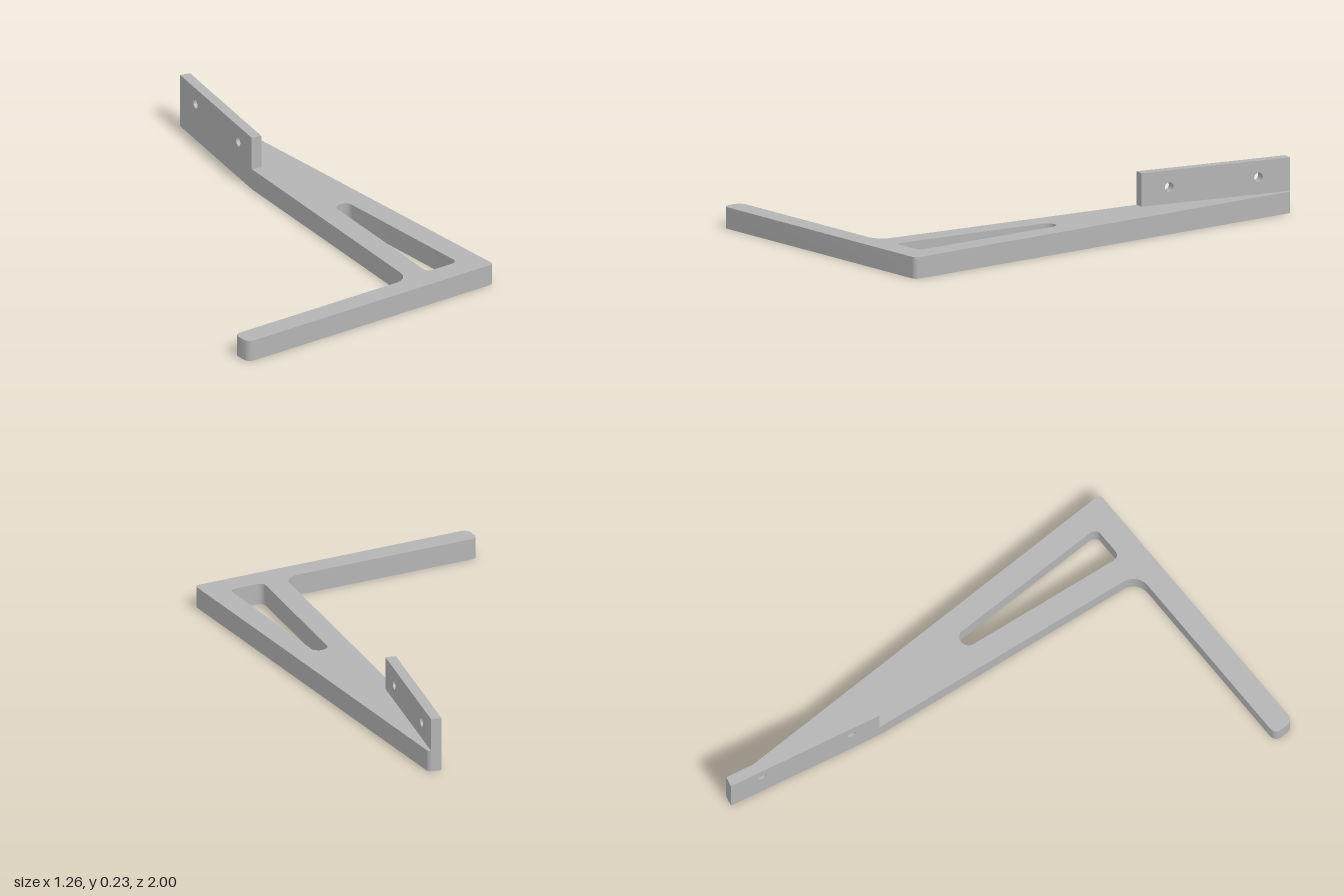
import * as THREE from 'three';
import { toCreasedNormals } from 'three/addons/utils/BufferGeometryUtils.js';

// Trace a closed outline of [x, z, cornerLength] points with rounded corners (shape y = -z)
function roundedOutline(path, corners) {
  const pts = corners.map(([x, z]) => new THREE.Vector2(x, -z));
  const n = pts.length;
  pts.forEach((p, i) => {
    const toward = (q, d) => p.clone().add(q.clone().sub(p).setLength(d));
    const prev = pts[(i + n - 1) % n], next = pts[(i + 1) % n], r = corners[i][2];
    const a = r ? toward(prev, r) : p, b = r ? toward(next, r) : p;
    if (i === 0) path.moveTo(a.x, a.y); else path.lineTo(a.x, a.y);
    if (r) {
      const c = toward(prev, r * 0.45), d = toward(next, r * 0.45);
      path.bezierCurveTo(c.x, c.y, d.x, d.y, b.x, b.y);
    }
  });
  path.closePath();
  return path;
}

function extrude(shape, depth) {
  const geo = new THREE.ExtrudeGeometry(shape, { depth, bevelEnabled: false, curveSegments: 10 });
  return toCreasedNormals(geo, 0.5);
}

export function createModel() {
  const group = new THREE.Group();
  const grey = new THREE.MeshStandardMaterial({ color: 0xb4b4b4 });
  grey.name = 'grey';

  // Flat L-shaped arm with a tapering slot
  const arm = roundedOutline(new THREE.Shape(), [
    [-0.63, 1, 0.03], [0.63, 1, 0.02], [0.6, -0.988, 0.012], [0.545, -1, 0],
    [0.405, -0.335, 0], [0.267, 0.905, 0.065], [-0.63, 0.905, 0.03],
  ]);
  arm.holes.push(roundedOutline(new THREE.Path(), [
    [0.368, 0.895, 0.03], [0.45, 0.157, 0.034], [0.519, 0.157, 0.034], [0.525, 0.895, 0.03],
  ]));
  const armMesh = new THREE.Mesh(extrude(arm, 0.09), grey);
  armMesh.name = 'arm';
  armMesh.rotation.x = -Math.PI / 2;
  group.add(armMesh);

  // Upright mounting plate along the slanted edge, with two screw holes
  const length = Math.hypot(0.14, 0.665);
  const plate = new THREE.Shape([[0, 0], [length, 0], [length, 0.14], [0, 0.14]]
    .map(([x, y]) => new THREE.Vector2(x, y)));
  for (const u of [0.128, 0.536]) {
    plate.holes.push(new THREE.Path().absarc(u, 0.07, 0.02, 0, Math.PI * 2, true));
  }
  const plateMesh = new THREE.Mesh(extrude(plate, 0.044), grey);
  plateMesh.name = 'mountingPlate';
  plateMesh.position.set(0.405, 0.09, -0.335);
  plateMesh.rotation.y = Math.atan2(0.665, 0.14);
  group.add(plateMesh);

  return group;
}
